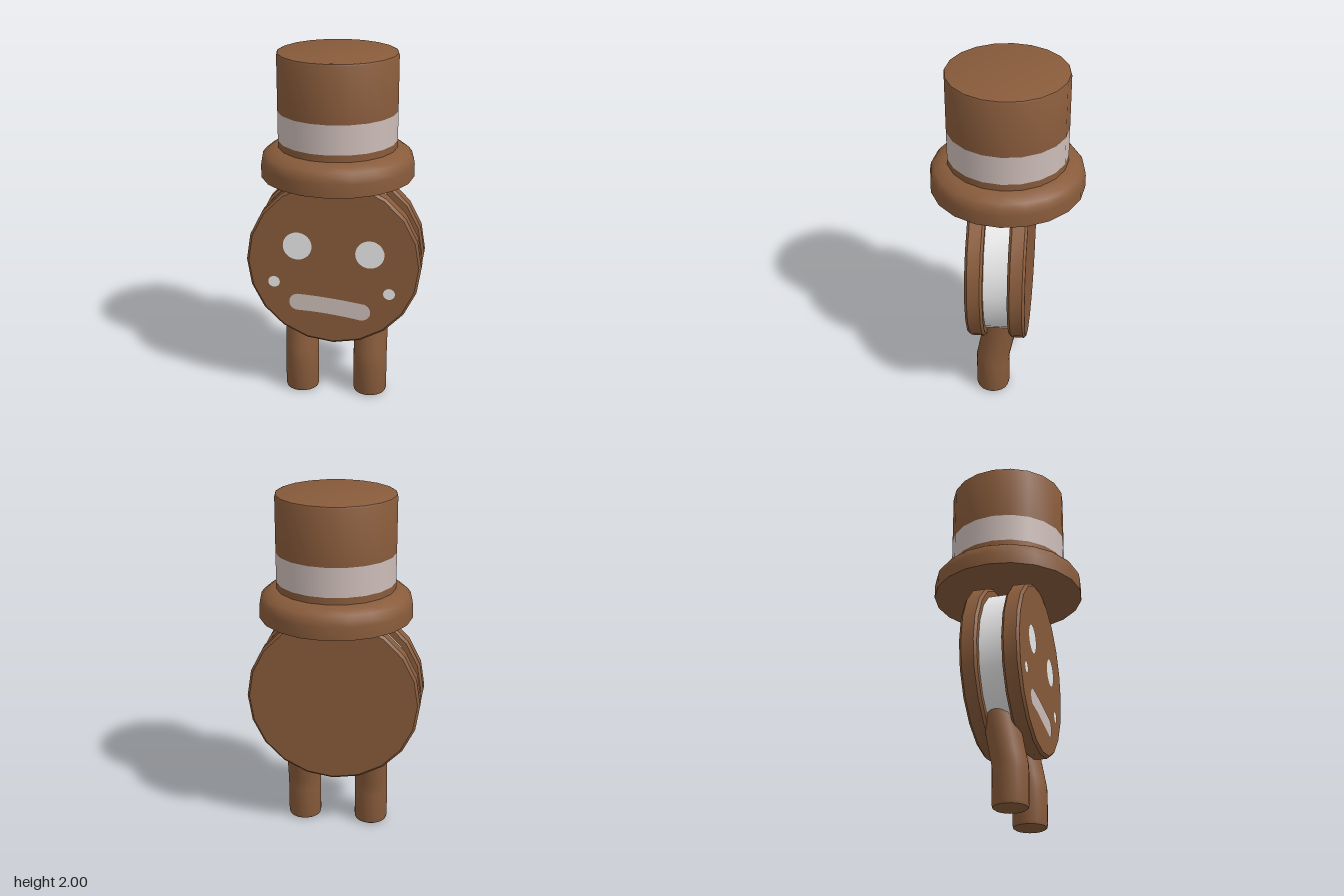
import * as THREE from 'three';
import { toCreasedNormals } from 'three/addons/utils/BufferGeometryUtils.js';

const material = (name, color) => {
  const m = new THREE.MeshStandardMaterial({ color });
  m.name = name;
  return m;
};

export function createModel() {
  const biscuit = material('biscuit brown', 0x885b3b);
  const cream = material('cream white', 0xfcfcfc);
  const icing = material('pale icing', 0xccbcb8);

  const model = new THREE.Group();
  model.name = 'biscuitFigure';

  const add = (name, geometry, mat, parent = model) => {
    const mesh = new THREE.Mesh(geometry, mat);
    mesh.name = name;
    parent.add(mesh);
    return mesh;
  };
  // Turned shape from [radius, height] pairs listed bottom to top
  const turned = (points, sides = 20) =>
    new THREE.LatheGeometry(points.map(([r, y]) => new THREE.Vector2(r, y)), sides);
  const crease = (geometry) => toCreasedNormals(geometry, 0.6);

  // Sandwich body: two bevelled biscuits with a cream filling
  const CY = 0.845, FRONT = 0.192;
  const body = new THREE.Group();
  body.name = 'body';
  body.position.y = CY;
  model.add(body);
  const disc = (r, z0, z1, bevel) => crease(turned([
    [0, z0], [r - bevel, z0], [r, z0 + bevel], [r, z1 - bevel], [r - bevel, z1], [0, z1],
  ]).rotateX(Math.PI / 2));
  add('frontBiscuit', disc(0.49, 0.095, FRONT, 0.014), biscuit, body);
  add('backBiscuit', disc(0.49, -0.134, -0.038, 0.014), biscuit, body);
  add('creamFilling', disc(0.443, -0.06, 0.12, 0.01), cream, body);

  // Face: thin painted spots and a slanted mouth
  const spot = (name, x, y, r) =>
    add(name, new THREE.CircleGeometry(r, 32), cream).position.set(x, y, FRONT + 0.002);
  spot('rightEye', -0.2, 0.945, 0.081);
  spot('leftEye', 0.205, 0.915, 0.081);
  spot('rightCheek', -0.335, 0.722, 0.033);
  spot('leftCheek', 0.315, 0.683, 0.033);

  const mouth = new THREE.Shape();
  mouth.absarc(-0.2, 0.604, 0.05, Math.PI / 2, Math.PI * 1.5, false);
  mouth.quadraticCurveTo(-0.03, 0.548, 0.155, 0.511);
  mouth.absarc(0.16, 0.562, 0.051, -Math.PI / 2, Math.PI / 2, false);
  mouth.quadraticCurveTo(-0.03, 0.645, -0.2, 0.654);
  add('mouth', new THREE.ShapeGeometry(mouth, 16), icing).position.z = FRONT + 0.002;

  // Legs: straight shins that lean back into the filling above the bend
  for (const [name, x] of [['rightLeg', -0.2], ['leftLeg', 0.2]]) {
    const leg = turned([
      [0, 0.005], [0.082, 0.005], [0.093, 0.012], [0.097, 0.03],
      [0.097, 0.2], [0.097, 0.24], [0.097, 0.28], [0.097, 0.56], [0, 0.56],
    ]);
    const p = leg.attributes.position;
    for (let i = 0; i < p.count; i++) {
      p.setZ(i, p.getZ(i) + 0.068 - 0.19 * Math.max(0, p.getY(i) - 0.23));
    }
    add(name, crease(leg), biscuit).position.x = x;
  }

  // Top hat: brim, crown and a flush band
  const hat = new THREE.Group();
  hat.name = 'hat';
  model.add(hat);
  add('brim', crease(turned([
    [0, 1.318], [0.425, 1.318], [0.425, 1.39], [0.419, 1.425],
    [0.402, 1.447], [0.37, 1.468], [0.33, 1.482], [0, 1.482],
  ])), biscuit, hat);
  add('crownBase', turned([[0.33, 1.47], [0.33, 1.52]]), biscuit, hat);
  add('hatBand', turned([[0.33, 1.52], [0.33, 1.682]]), icing, hat);
  add('crown', crease(turned([
    [0.33, 1.682], [0.33, 1.988], [0.326, 1.997], [0.318, 2], [0, 2],
  ])), biscuit, hat);

  return model;
}
